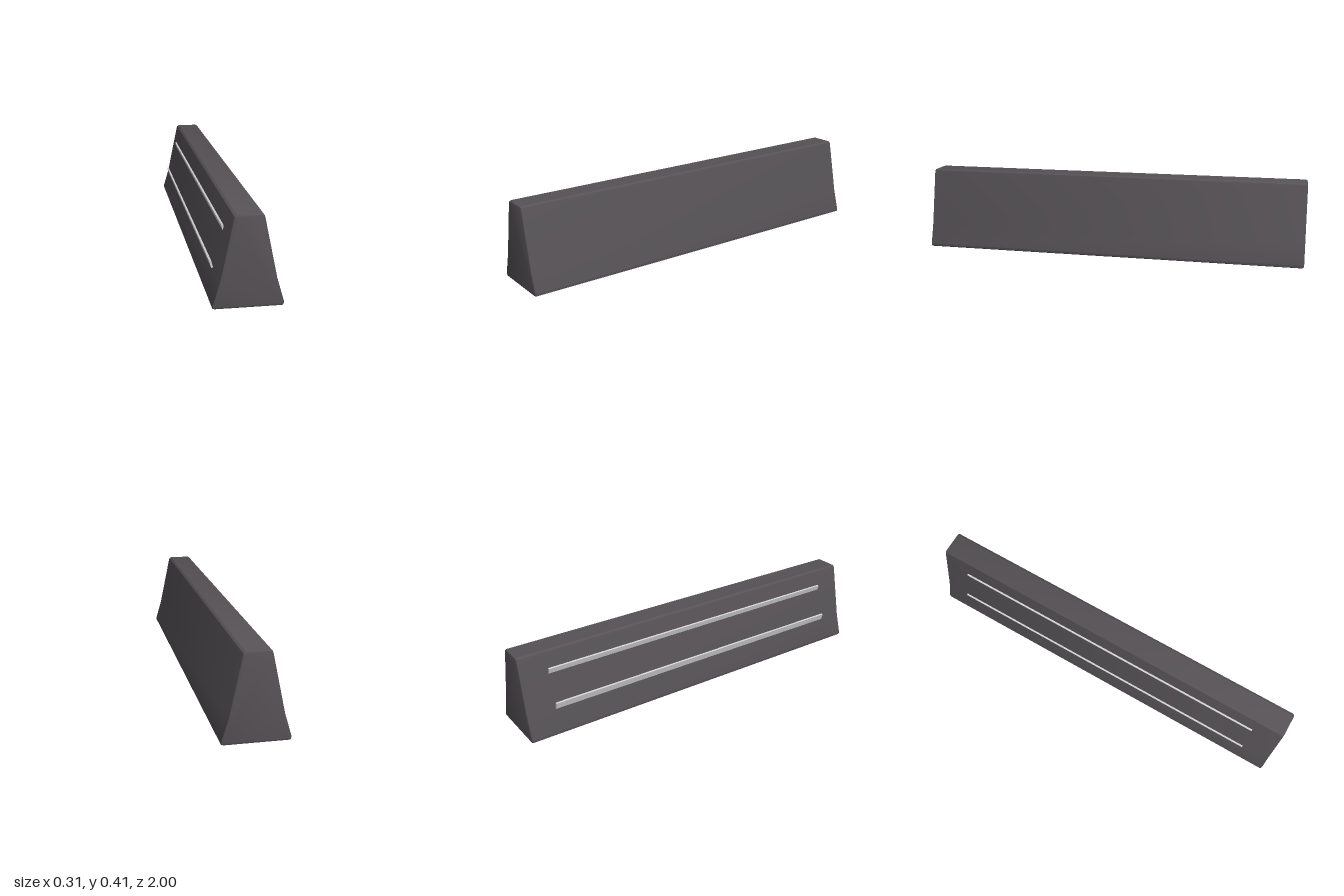
import * as THREE from 'three';
import { toCreasedNormals } from 'three/addons/utils/BufferGeometryUtils.js';

export function createModel() {
  const model = new THREE.Group();
  model.name = 'roadBarrier';

  const charcoal = new THREE.MeshStandardMaterial({ color: 0x565256 });
  charcoal.name = 'charcoal';
  const paleGrey = new THREE.MeshStandardMaterial({ color: 0xd0d0d0 });
  paleGrey.name = 'paleGrey';

  // Barrier body: mirrored half profile with a flared foot, extruded along z
  const half = [
    [0.147, 0], [0.155, 0.004], [0.157, 0.016], [0.125, 0.125],
    [0.068, 0.398], [0.064, 0.409], [0.054, 0.415],
  ];
  const outline = [
    ...half.map(([x, y]) => new THREE.Vector2(x, y)),
    ...half.slice().reverse().map(([x, y]) => new THREE.Vector2(-x, y)),
  ];
  const bevel = 0.01;
  const bodyGeometry = new THREE.ExtrudeGeometry(new THREE.Shape(outline), {
    depth: 2 - 2 * bevel,
    bevelEnabled: true,
    bevelThickness: bevel,
    bevelSize: bevel,
    bevelOffset: -bevel, // keeps the widest section on the profile itself
    bevelSegments: 2,
  });
  bodyGeometry.translate(0, 0, -1 + bevel);
  const body = new THREE.Mesh(toCreasedNormals(bodyGeometry, 0.5), charcoal);
  body.name = 'barrierBody';
  model.add(body);

  // Two long tilted strips on the right side
  const stripGeometry = new THREE.BoxGeometry(0.009, 0.034, 1.71);
  for (const [name, x, y] of [['upperStrip', -0.086, 0.315], ['lowerStrip', -0.138, 0.1525]]) {
    const strip = new THREE.Mesh(stripGeometry, paleGrey);
    strip.name = name;
    strip.position.set(x, y, 0);
    strip.rotation.z = 0.26;
    model.add(strip);
  }

  return model;
}
